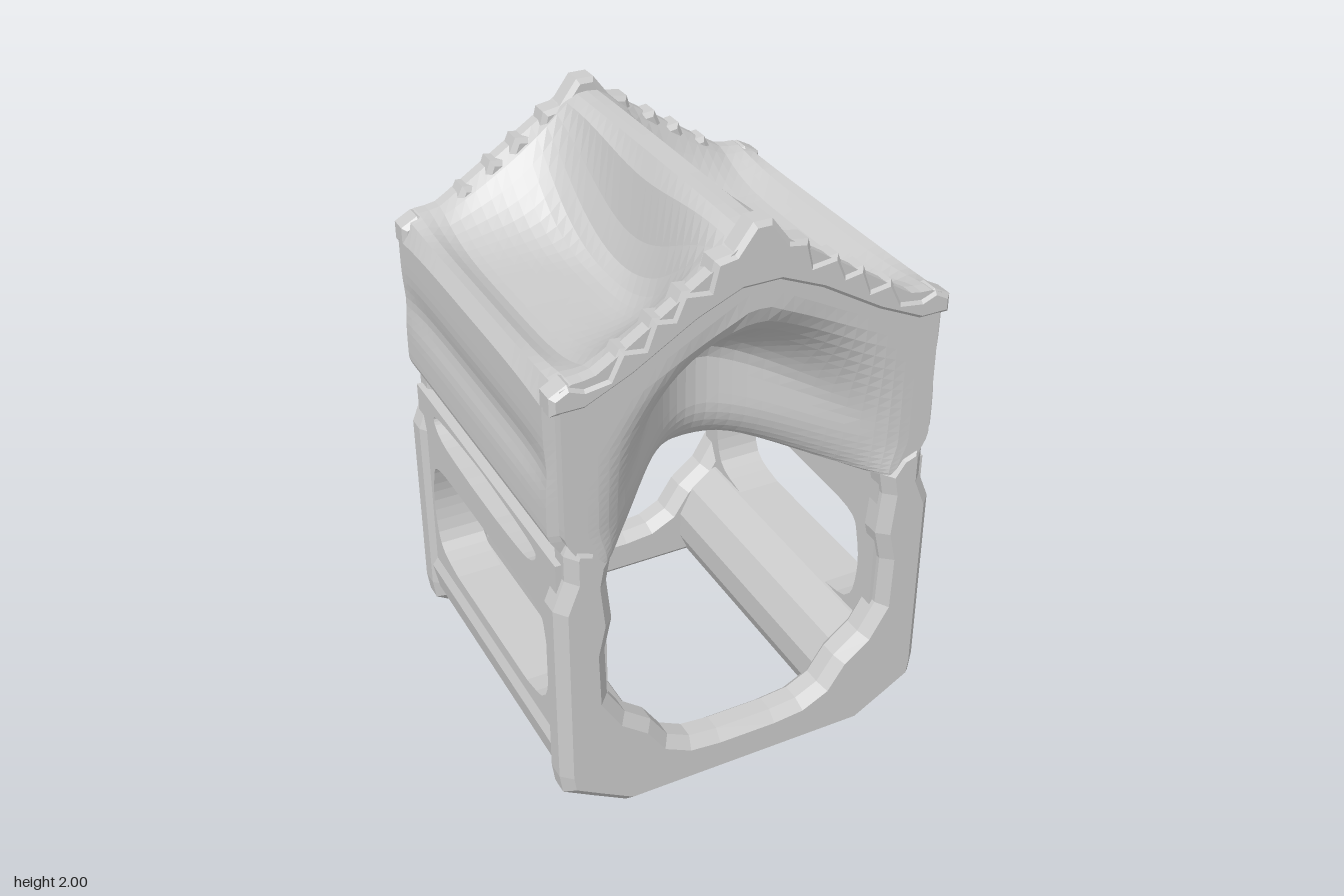
import * as THREE from 'three';

const mat = new THREE.MeshStandardMaterial({ color: 0xcccccc, flatShading: true, side: THREE.DoubleSide });
const { smoothstep, lerp } = THREE.MathUtils;

function add(group, name, geometry) {
  const mesh = new THREE.Mesh(geometry, mat);
  mesh.name = name;
  group.add(mesh);
}

const points = (list) => list.map(([a, b]) => new THREE.Vector2(a, b));
// Right half of an outline, completed with its mirror image
const mirrored = (half) => points([...half, ...half.map(([x, y]) => [-x, y]).reverse()]);

// Extrudes between two depths, with a one-step chamfer that stays inside the outline
function slab(shape, z0, z1, bevel) {
  const g = new THREE.ExtrudeGeometry(shape, {
    depth: z1 - z0 - 2 * bevel, bevelEnabled: bevel > 0, bevelThickness: bevel,
    bevelSize: bevel, bevelOffset: -bevel, bevelSegments: 1,
  });
  return g.translate(0, 0, z0 + bevel);
}

// Roof: straight slope at the gables, sagging away from a thin ridge in between
function roofHeight(x, z) {
  const a = Math.abs(x);
  const end = Math.min(1, Math.abs(z) / 0.54);
  const eave = 0.05 * smoothstep(a, 0.5, 0.62);
  const slope = 1.96 - Math.max(0, a - 0.03) * 0.65 + eave;
  const fillet = 0.05 + 0.1 * end * end;
  const sag = 1.57 + 0.39 * Math.exp(-Math.pow(Math.max(0, a - 0.06) / fillet, 1.3)) + eave;
  return lerp(sag, slope, Math.pow(end, 4));
}

// Depth of the arched niche, rolling further in along its lower edge
function nicheDepth(x, y) {
  const a = Math.abs(x);
  const bowl = Math.pow(Math.cos(Math.min(1, a / 0.54) * Math.PI / 2), 2);
  const top = 1.72 - 1.2 * a * a;
  const upper = 0.38 * bowl * (1 - smoothstep(y, top - 0.36, top));
  const lower = 0.56 * (1 - smoothstep(a, 0.08, 0.54));
  const s = 1 - Math.min(1, (y - 1) / 0.2);
  return lerp(upper, lower, 1 - Math.sqrt(1 - s * s));
}

// Upper body: a fine box whose faces are pressed inwards
function upperBody() {
  const g = new THREE.BoxGeometry(2, 2, 2, 36, 22, 28);
  const p = g.attributes.position;
  for (let i = 0; i < p.count; i++) {
    const u = p.getX(i), v = p.getY(i), w = p.getZ(i);
    const corner = Math.abs(u) > 0.99 && Math.abs(w) > 0.99 ? 0.035 : 0;
    let x = u * 0.66;
    let y = lerp(1.0, roofHeight(x, w * 0.6), Math.pow((v + 1) / 2, 1.4));
    // eave chamfer
    if (Math.abs(u) > 0.99 && v > 0.99) y -= 0.06;
    const z = w * (0.61 - corner - nicheDepth(x, y));
    // side walls: waist at the bottom and shallow hollows along the panel
    const middle = 1 - Math.pow(Math.abs(w), 6);
    const waist = 0.06 * (1 - smoothstep(y, 1.0, 1.13));
    const hollow = 0.02 * middle * Math.exp(-Math.pow((y - 1.34) / 0.07, 2));
    x -= Math.sign(u) * (corner + (waist + hollow) * smoothstep(Math.abs(u), 0.6, 1));
    p.setXYZ(i, x, y, z);
  }
  g.computeVertexNormals();
  return g;
}

// Lower end frame: two posts and a sill around the rounded opening
function endFrame() {
  const shape = new THREE.Shape(mirrored([
    [0.43, 0], [0.55, 0.07], [0.65, 0.13], [0.66, 0.2], [0.66, 0.86], [0.62, 0.96], [0.62, 1.05],
    [0.6, 1.1], [0.52, 1.07], [0.47, 1.0], [0.485, 0.92], [0.47, 0.77], [0.495, 0.66], [0.49, 0.48],
    [0.43, 0.38], [0.34, 0.31], [0.28, 0.22], [0.2, 0.18], [0.1, 0.17],
  ]));
  return slab(shape, 0.49, 0.62, 0.035);
}

// Gable rim: jagged steps climbing to the apex
function gableRim() {
  const shape = new THREE.Shape(mirrored([
    [0.03, 2], [0.09, 1.92], [0.15, 1.91], [0.17, 1.83], [0.25, 1.84], [0.28, 1.77],
    [0.34, 1.78], [0.37, 1.7], [0.44, 1.71], [0.48, 1.63], [0.55, 1.62], [0.6, 1.64], [0.655, 1.61],
    [0.655, 1.55], [0.55, 1.55], [0.4, 1.62], [0.2, 1.74], [0.06, 1.8],
  ]));
  return slab(shape, 0.53, 0.62, 0.015);
}

// Lower side wall: a wide slot, a rail and a narrow slot under the upper body
function sideWall() {
  const shape = new THREE.Shape(mirrored([[0.57, 0.28], [0.57, 1.01]]));
  const slot = (half) => new THREE.Path(new THREE.SplineCurve(mirrored(half)).getPoints(40));
  shape.holes.push(slot([[0.3, 0.37], [0.44, 0.41], [0.485, 0.55], [0.47, 0.68], [0.42, 0.75], [0.2, 0.765]]));
  shape.holes.push(slot([[0.1, 0.88], [0.34, 0.895], [0.42, 0.94], [0.38, 0.975], [0.1, 0.995]]));
  return slab(shape, 0.48, 0.64, 0).rotateY(Math.PI / 2);
}

// Bottom side beam with a stepped, hollowed lower outside face
function bottomBeam() {
  const shape = new THREE.Shape(points([
    [0.655, 0.28], [0.64, 0.19], [0.56, 0.15], [0.48, 0.1], [0.44, 0.01], [0.37, 0.01],
    [0.33, 0.1], [0.33, 0.2], [0.38, 0.3], [0.47, 0.37], [0.62, 0.37],
  ]));
  return slab(shape, -0.57, 0.57, 0);
}

export function createModel() {
  const model = new THREE.Group();
  model.name = 'houseFrame';
  add(model, 'upperBody', upperBody());

  // front and back ends
  for (const [name, turn] of [['front', 0], ['back', Math.PI]]) {
    const end = new THREE.Group();
    end.name = name + 'End';
    end.rotation.y = turn;
    add(end, name + 'Frame', endFrame());
    add(end, name + 'GableRim', gableRim());
    model.add(end);
  }

  // left and right sides
  for (const [name, turn] of [['left', 0], ['right', Math.PI]]) {
    const side = new THREE.Group();
    side.name = name + 'Side';
    side.rotation.y = turn;
    add(side, name + 'Wall', sideWall());
    add(side, name + 'BottomBeam', bottomBeam());
    model.add(side);
  }
  return model;
}
